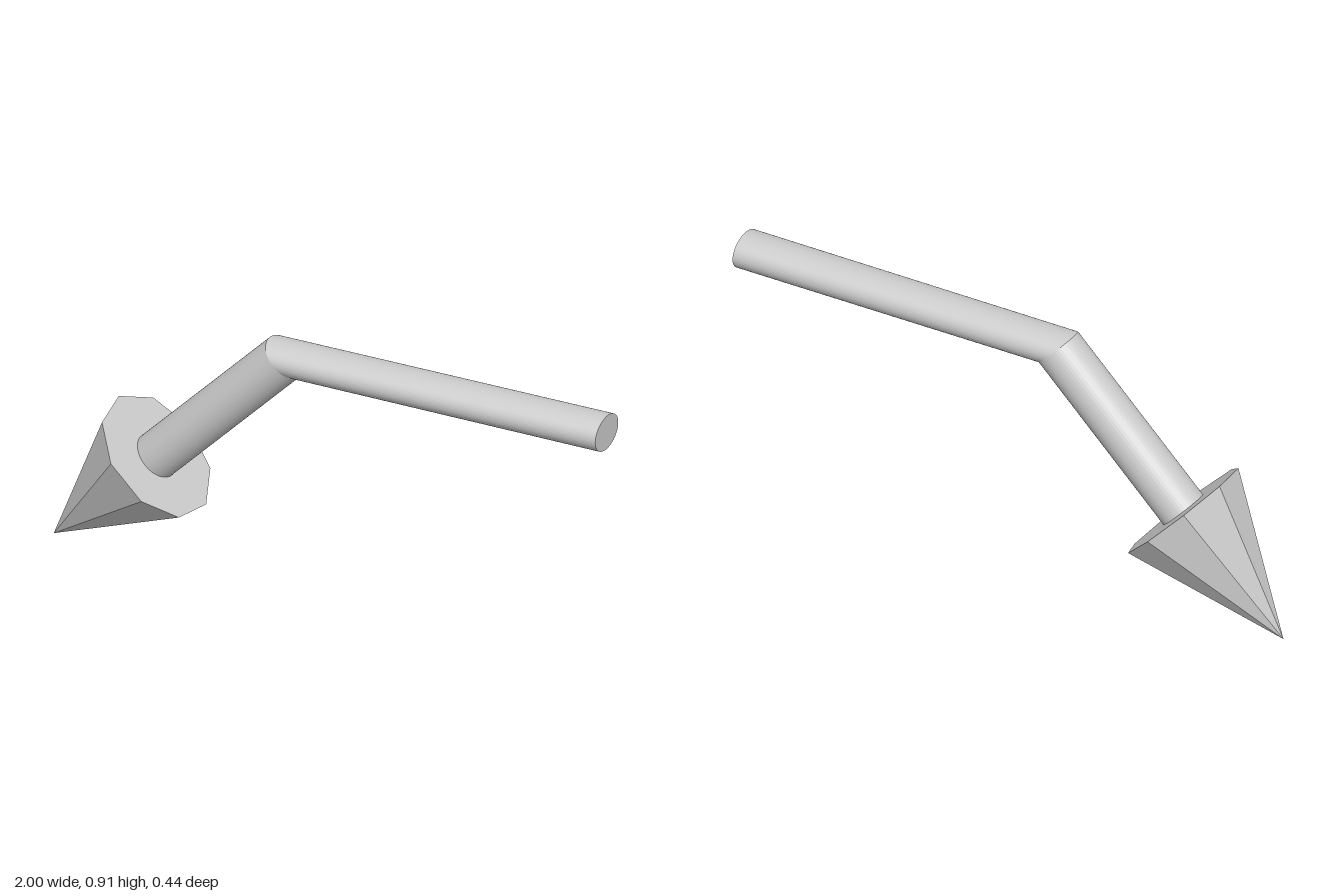
import * as THREE from 'three';

const Z = 0.007; // common depth of all parts
const D = Math.SQRT1_2;

export function createModel() {
  const group = new THREE.Group();
  const material = new THREE.MeshStandardMaterial({ color: 0xcccccc, flatShading: true });
  const add = (geometry, name) => {
    const mesh = new THREE.Mesh(geometry, material);
    mesh.name = name;
    group.add(mesh);
  };

  // Bent shaft: a cylinder whose three rings are placed at the tip, bend and tail.
  // Each ring has a centre and the direction of its in-plane axis.
  const rings = [
    { c: [-0.64, 0.36], u: [D, -D] },
    { c: [-0.164, 0.842], u: [D, -D] },
    { c: [1, 0.85], u: [0, -0.74] },
  ];
  const shaft = new THREE.CylinderGeometry(0.08, 0.08, 2, 48, 2);
  const p = shaft.attributes.position;
  for (let i = 0; i < p.count; i++) {
    const { c, u } = rings[Math.round(p.getY(i)) + 1];
    const r = p.getX(i);
    p.setXYZ(i, c[0] + r * u[0], c[1] + r * u[1], p.getZ(i) + Z);
  }
  shaft.computeVertexNormals();
  add(shaft, 'bentShaft');

  // Nine-sided arrowhead pointing down to the right
  const height = 0.527;
  const head = new THREE.ConeGeometry(0.227, height, 9);
  head.rotateY(Math.PI);
  head.translate(0, -height / 2, 0); // apex at the origin
  head.rotateZ(Math.PI * 0.75);
  head.translate(-1, 0, Z);
  add(head, 'arrowHead');

  return group;
}
